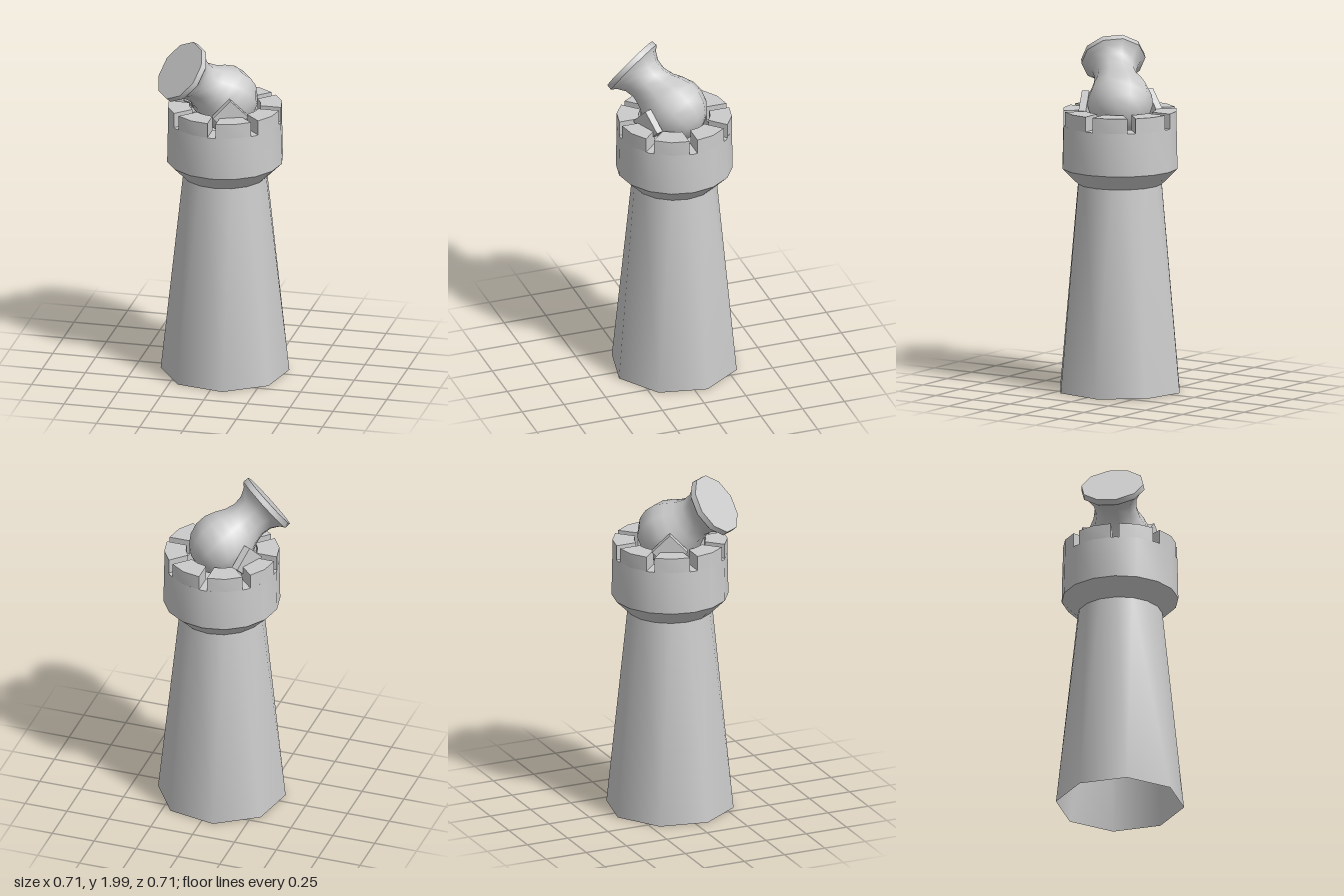
import * as THREE from 'three';
import { toCreasedNormals } from 'three/addons/utils/BufferGeometryUtils.js';

const DEG = Math.PI / 180;
const material = new THREE.MeshStandardMaterial({ color: 0xcccccc, side: THREE.DoubleSide });

function part(name, geometry, crease = 0.8) {
  const mesh = new THREE.Mesh(toCreasedNormals(geometry, crease), material);
  mesh.name = name;
  return mesh;
}

function lathe(profile, segments) {
  return new THREE.LatheGeometry(profile.map(([r, y]) => new THREE.Vector2(r, y)), segments);
}

// Tapered shaft, open below: 8 corners at the foot blend into 16 at the top
function shaftGeometry() {
  const foot = (deg) => [0.363 * Math.cos(deg * DEG), 0, 0.363 * Math.sin(deg * DEG)];
  const head = (deg) => [0.24 * Math.cos(deg * DEG), 1.18, 0.24 * Math.sin(deg * DEG)];
  const positions = [];
  for (let a = 0; a < 360; a += 45) {
    const b0 = foot(a + 33.75), b1 = foot(a + 78.75);
    const t0 = head(a + 22.5), t1 = head(a + 45), t2 = head(a + 67.5);
    positions.push(...b0, ...t0, ...t1, ...b0, ...t1, ...t2, ...b0, ...t2, ...b1);
  }
  const geometry = new THREE.BufferGeometry();
  geometry.setAttribute('position', new THREE.Float32BufferAttribute(positions, 3));
  return geometry;
}

// One parapet block, with parallel-sided gaps left between neighbours
function merlonGeometry() {
  const inner = 0.202, outer = 0.325, gap = 0.024;
  const at = (r, a) => new THREE.Vector2(r * Math.cos(a), r * Math.sin(a));
  const oa = Math.asin(gap / outer), ia = Math.asin(gap / inner);
  const shape = new THREE.Shape([
    at(outer - 0.004, oa), at(outer, 22.5 * DEG), at(outer - 0.004, 45 * DEG - oa),
    at(inner, 45 * DEG - ia), at(inner, 22.5 * DEG), at(inner, ia),
  ]);
  const geometry = new THREE.ExtrudeGeometry(shape, { depth: 0.085, bevelEnabled: false });
  return geometry.rotateX(-Math.PI / 2).translate(0, 1.515, 0);
}

export function createModel() {
  const model = new THREE.Group();
  model.name = 'cannonTower';

  model.add(part('shaft', shaftGeometry()));

  // Flared collar, parapet wall and the well that holds the cannon
  model.add(part('crown', lathe([
    [0.24, 1.18], [0.33, 1.27], [0.325, 1.515], [0.202, 1.515], [0.202, 1.42], [0, 1.42],
  ], 16), 0.6));

  const battlements = new THREE.Group();
  battlements.name = 'battlements';
  for (let i = 0; i < 8; i++) {
    const merlon = part('merlon', merlonGeometry(), 0.6);
    merlon.rotation.y = i * 45 * DEG;
    battlements.add(merlon);
  }
  model.add(battlements);

  // Round-backed cannon with a narrow neck and a flanged, flat muzzle
  const profile = [];
  for (let a = -90; a <= 30; a += 20) {
    profile.push([Math.max(0, 0.187 * Math.cos(a * DEG)), 0.187 * Math.sin(a * DEG)]);
  }
  profile.push([0.135, 0.145], [0.12, 0.205], [0.128, 0.26], [0.155, 0.305],
    [0.182, 0.325], [0.179, 0.358], [0, 0.358]);
  const cannon = part('cannon', lathe(profile, 10));
  cannon.position.set(0, 1.64, 0);
  cannon.quaternion.setFromUnitVectors(
    new THREE.Vector3(0, 1, 0), new THREE.Vector3(-0.6, 0.6, 0.53).normalize());
  model.add(cannon);

  // Diamond-set pivot blocks on either side of the cannon
  for (const deg of [68, 205]) {
    const pivot = new THREE.Group();
    pivot.name = 'pivotBlock';
    const block = part('block', new THREE.BoxGeometry(0.042, 0.142, 0.142), 0.3);
    block.position.set(0.198, 1.6, 0);
    block.rotation.x = 45 * DEG;
    pivot.add(block);
    pivot.rotation.y = -deg * DEG;
    model.add(pivot);
  }

  return model;
}
